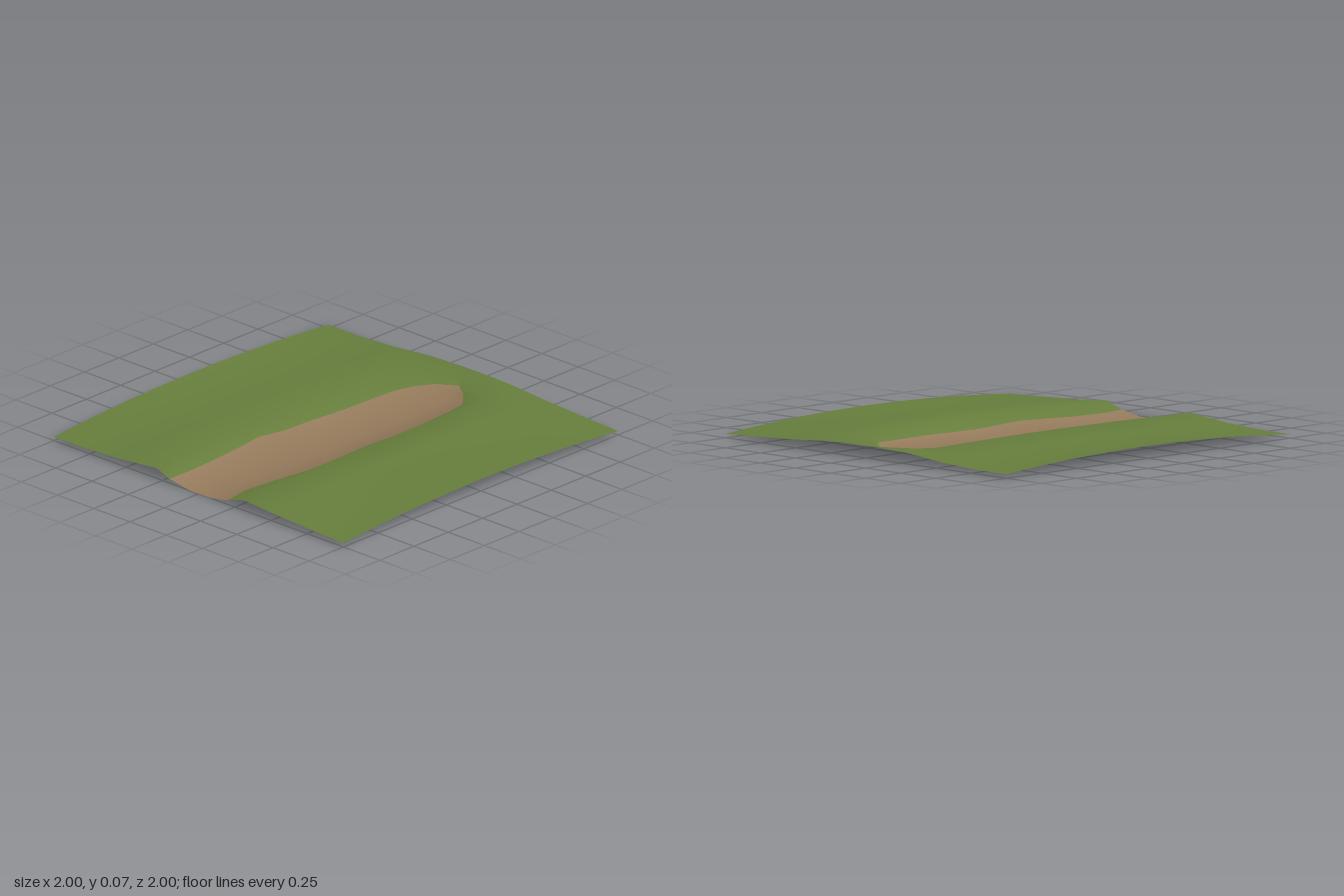
import * as THREE from 'three';

// Path rows from front to back: z, left edge x, right edge x, floor height, edge height
const ROWS = [
  [1, -0.2, 0.2, 0.0, 0.022],
  [0.85, -0.2, 0.175, 0.002, 0.022],
  [0.65, -0.21, 0.195, 0.003, 0.022],
  [0.45, -0.225, 0.23, 0.009, 0.026],
  [0.31, -0.24, 0.24, 0.013, 0.03],
  [0.16, -0.21, 0.23, 0.011, 0.026],
  [0, -0.21, 0.22, 0.004, 0.022],
  [-0.15, -0.195, 0.23, 0.003, 0.022],
  [-0.3, -0.18, 0.235, 0.01, 0.024],
  [-0.45, -0.175, 0.23, 0.011, 0.025],
  [-0.6, -0.165, 0.22, 0.012, 0.025],
  [-0.7, -0.13, 0.21, 0.016, 0.028],
  [-0.79, -0.07, 0.13, 0.025, 0.031],
  [-0.85, 0.045, 0.045, 0.036, 0.036],
  // grass closing off the far end of the path
  [-0.92, -0.06, 0.14, 0.05, 0.05],
  [-1, -0.08, 0.15, 0.062, 0.062],
];
const TIP = 13;

// Grass columns: x, height at the front and back rim, height halfway along
const LEFT = [[-1, 0.02, 0.063], [-0.78, 0.021, 0.044], [-0.55, 0.032, 0.058], [-0.29, 0.056, 0.069]];
const RIGHT = [[0.31, 0.056, 0.071], [0.5, 0.042, 0.071], [0.75, 0.03, 0.059], [1, 0.02, 0.063]];

export function createModel() {
  const grass = new THREE.MeshStandardMaterial({ color: 0x687f3d, side: THREE.DoubleSide });
  grass.name = 'grass green';
  const dirt = new THREE.MeshStandardMaterial({ color: 0x977c5d, side: THREE.DoubleSide });
  dirt.name = 'dirt brown';

  // One shared grid of points, with columns that follow the path edges
  const points = [];
  for (const [z, l, r, floor, edge] of ROWS) {
    const bank = ([x, end, mid]) => points.push(x, end + (mid - end) * (1 - z * z), z);
    LEFT.forEach(bank);
    points.push(l, edge, z);
    for (const t of [0.35, 0.68]) points.push(l + (r - l) * t, floor, z);
    points.push(r, edge, z);
    RIGHT.forEach(bank);
  }

  // Sort the grid faces into grass and path
  const cols = LEFT.length + 4 + RIGHT.length;
  const grassFaces = [], dirtFaces = [];
  for (let i = 0; i < ROWS.length - 1; i++) {
    for (let j = 0; j < cols - 1; j++) {
      const onPath = j >= LEFT.length && j < LEFT.length + 3;
      const list = onPath && i < TIP ? dirtFaces : grassFaces;
      const a = i * cols + j, b = a + 1, c = a + cols, d = c + 1;
      if (!(onPath && i === TIP)) list.push(a, b, c);
      if (!(onPath && i === TIP - 1)) list.push(b, d, c);
      else list.push(b, d, c);
    }
  }

  // Smooth normals over the whole ground, shared by both surfaces
  const ground = new THREE.BufferGeometry();
  ground.setAttribute('position', new THREE.Float32BufferAttribute(points, 3));
  ground.setIndex([...grassFaces, ...dirtFaces]);
  ground.computeVertexNormals();

  const group = new THREE.Group();
  group.name = 'groundTile';
  const addSurface = (name, faces, material) => {
    const geometry = ground.clone();
    geometry.setIndex(faces);
    const mesh = new THREE.Mesh(geometry, material);
    mesh.name = name;
    group.add(mesh);
  };
  addSurface('grassField', grassFaces, grass);
  addSurface('dirtPath', dirtFaces, dirt);
  return group;
}
